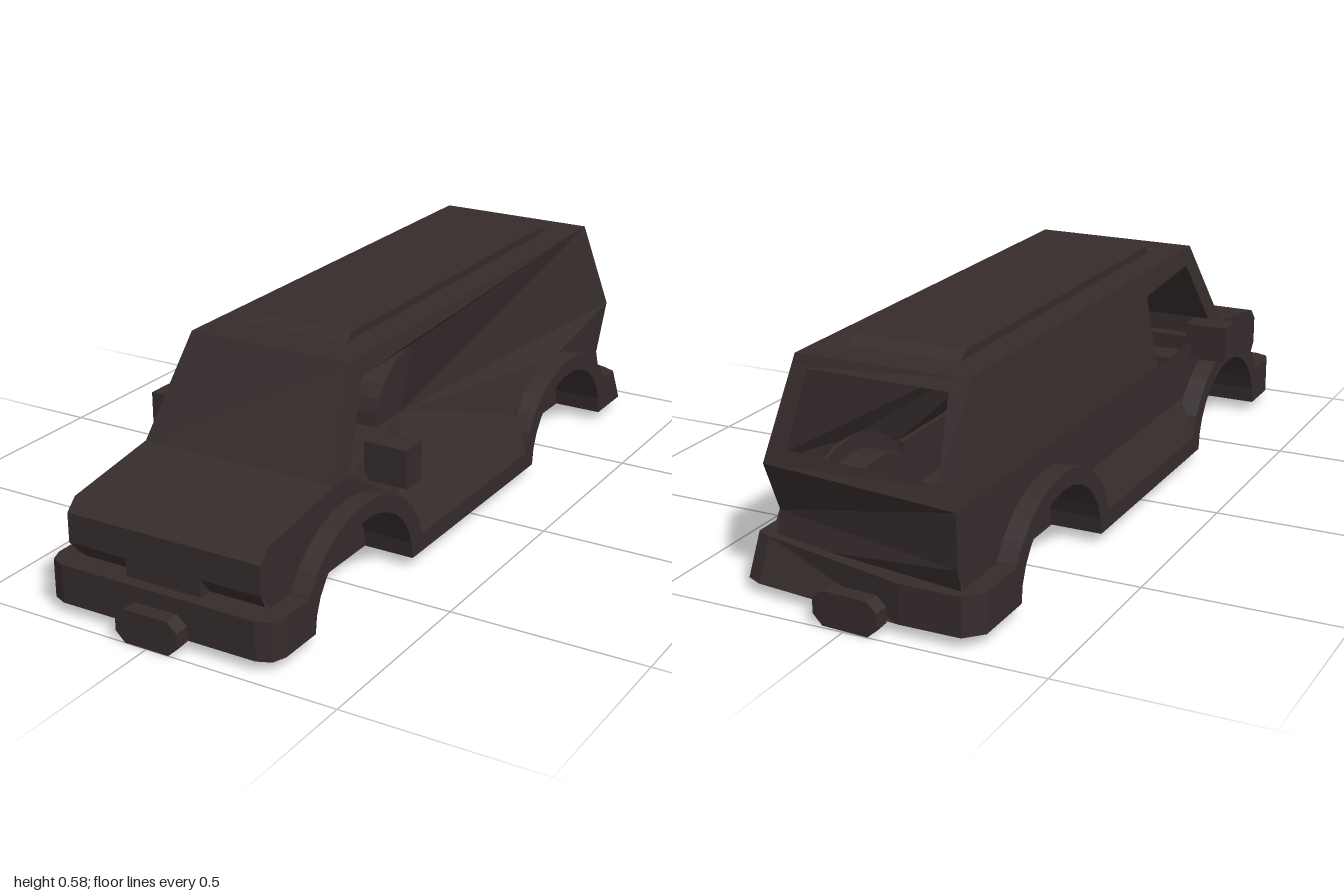
import * as THREE from 'three';

export function createModel() {
  const model = new THREE.Group();
  const paint = new THREE.MeshStandardMaterial({ color: 0x362c2c, flatShading: true, side: THREE.DoubleSide });
  paint.name = 'dark brown paint';

  const add = (name, geometry) => {
    const mesh = new THREE.Mesh(geometry, paint);
    mesh.name = name;
    model.add(mesh);
    return mesh;
  };
  const toShape = (pts) => new THREE.Shape(pts.map(([a, b]) => new THREE.Vector2(a, b)));

  // Side profile [z, y] swept across x0..x1
  const sweepX = (pts, x0, x1) =>
    new THREE.ExtrudeGeometry(toShape(pts), { depth: x1 - x0, bevelEnabled: false })
      .rotateY(-Math.PI / 2).translate(x1, 0, 0);

  // Plan outline [x, z] raised from y0 to y1
  const raise = (pts, y0, y1) =>
    new THREE.ExtrudeGeometry(toShape(pts.map(([x, z]) => [x, -z])), { depth: y1 - y0, bevelEnabled: false })
      .rotateX(-Math.PI / 2).translate(0, y0, 0);

  const fromVertices = (v) => {
    const g = new THREE.BufferGeometry();
    g.setAttribute('position', new THREE.Float32BufferAttribute(v, 3));
    g.computeVertexNormals();
    return g;
  };
  // Thin side panel from a [z, y] outline, leaning by xAt(y), facing outwards
  const sidePanel = (pts, s, xAt) => {
    const g = new THREE.ShapeGeometry(toShape(pts)).toNonIndexed();
    const p = g.attributes.position;
    const v = [];
    for (let i = 0; i < p.count; i += 3) {
      for (const k of s > 0 ? [0, 2, 1] : [0, 1, 2]) {
        v.push(s * xAt(p.getY(i + k)), p.getY(i + k), p.getX(i + k));
      }
    }
    return fromVertices(v);
  };
  // Faces given by their corners, counter-clockwise from outside, fanned from the first corner
  const faces = (list) => fromVertices(list.flatMap(([first, ...rest]) =>
    rest.slice(1).flatMap((corner, i) => [...first, ...rest[i], ...corner])));

  // Wheel arch curve from front to back
  const FLOOR = 0.027;
  const AXLES = [0.57, -0.53];
  const arch = (zc, rz, ry) => Array.from({ length: 15 }, (_, i) => {
    const t = (i / 14) * Math.PI;
    return [zc + rz * Math.cos(t), FLOOR + ry * Math.sin(t)];
  });

  const W = 0.265, ROOF = 0.22, BELT = 0.315, TOP = 0.56, WELL = 0.18;
  const lean = (y) => W + ((y - BELT) / (TOP - BELT)) * (ROOF - W);

  // The tail is skewed, so each side ends at its own depth: belt, waist, base
  const tail = { '1': [-0.89, -0.83, -0.85], '-1': [-0.96, -0.955, -0.93] };

  // Right upper side with the open cab window
  add('rightUpperSide', sidePanel([
    [0.63, BELT], [0.49, TOP], [-0.81, TOP], [tail['-1'][0], BELT], [0.16, BELT],
    [0.16, 0.5], [0.445, 0.515], [0.56, BELT],
  ], -1, lean));

  // Left upper side: the panel behind the window is pushed inwards and fans out to the tail
  const roofFront = [ROOF, TOP, 0.49], roofBack = [ROOF, TOP, -0.81];
  const windowTop = [lean(0.515), 0.515, 0.445], windowBase = [W, BELT, 0.56];
  const jambTop = [0.2, 0.5, 0.16], jambBase = [0.17, BELT, 0.16];
  const dent = [[0.56, BELT], [0.33, 0.17], [-0.29, 0.17], [-0.53, 0.255], [tail['1'][0], BELT]];
  add('leftWindowFrame', faces([
    [roofBack, roofFront, windowTop, jambTop],
    [roofFront, [W, BELT, 0.63], windowBase, windowTop],
  ]));
  add('leftDentedSide', faces([
    [jambBase, ...dent.map(([z, y]) => [W, y, z]), roofBack, jambTop],
  ]));

  for (const s of [1, -1]) {
    const side = s > 0 ? 'left' : 'right';
    const [beltZ, waistZ, baseZ] = tail[s];

    // Lower side with wheel cut-outs
    add(side + 'LowerSide', sidePanel([
      [0.63, BELT], [0.9, 0.275], [0.93, 0.245], [0.93, 0.17], [0.89, 0.12], [0.89, FLOOR],
      ...arch(AXLES[0], 0.22, 0.193), ...arch(AXLES[1], 0.22, 0.193),
      [baseZ, FLOOR], [baseZ, 0.125], [waistZ, 0.18], [beltZ, BELT],
      ...(s > 0 ? dent.slice(0, -1).reverse() : []),
    ], s, () => W));

    // Flares and wheel wells
    AXLES.forEach((zc, i) => {
      const end = i ? 'Rear' : 'Front';
      const ring = [...arch(zc, 0.27, 0.235), ...arch(zc, 0.22, 0.193).reverse()];
      add(side + end + 'Flare', s > 0 ? sweepX(ring, 0.255, 0.315) : sweepX(ring, -0.315, -0.255));
      add(side + end + 'WheelWell', new THREE.CylinderGeometry(1, 1, W - WELL, 14, 1, true, 0, Math.PI)
        .rotateZ(Math.PI / 2).scale(1, 0.193, 0.22).translate(s * (W + WELL) / 2, FLOOR, zc));
      add(side + end + 'WellWall', sidePanel(arch(zc, 0.22, 0.193), s, () => WELL));
    });

    // Sill with a sloping top
    const sill = new THREE.ExtrudeGeometry(
      toShape([[s * 0.25, FLOOR], [s * 0.315, FLOOR], [s * 0.315, 0.075], [s * W, 0.17], [s * 0.25, 0.17]]),
      { depth: 0.62, bevelEnabled: false });
    add(side + 'Sill', sill.translate(0, 0, -0.29));

    // Door mirror
    add(side + 'Mirror', new THREE.BoxGeometry(0.115, 0.097, 0.07).translate(s * 0.3075, 0.3165, 0.435));
  }

  // Symmetric faces across the body, from the lower row to the upper row [halfWidth, y, z]
  const across = ([w0, y0, z0], [w1, y1, z1]) =>
    [[-w0, y0, z0], [w0, y0, z0], [w1, y1, z1], [-w1, y1, z1]];
  const nose = [[0.25, 0.12, 0.89], [W, 0.17, 0.93], [W, 0.245, 0.93], [W, 0.275, 0.9], [W, BELT, 0.63], roofFront, roofBack];
  ['lampRecess', 'grille', 'hoodLip', 'hood', 'windshield', 'roof'].forEach((name, i) =>
    add(name, faces([across(nose[i], nose[i + 1])])));
  add('noseCentre', new THREE.BoxGeometry(0.205, 0.07, 0.04).translate(0, 0.135, 0.91));

  // Tail gate: frame around the open rear window, then the lower panels
  const L = tail['1'], R = tail['-1'];
  const gate = (u, v) => {
    const w = W + (ROOF - W) * v;
    const beltZ = L[0] + (R[0] - L[0]) * u;
    return [w - 2 * w * u, BELT + (TOP - BELT) * v, beltZ + (-0.81 - beltZ) * v];
  };
  const patch = (u0, v0, u1, v1) => [gate(u0, v0), gate(u1, v0), gate(u1, v1), gate(u0, v1)];
  add('rearWindowFrame', faces([
    patch(0, 0, 1, 0.16), patch(0, 0.88, 1, 1), patch(0, 0.16, 0.1, 0.88), patch(0.9, 0.16, 1, 0.88),
  ]));
  add('tailgate', faces([
    [[W, 0.18, L[1]], [-W, 0.18, R[1]], [-W, BELT, R[0]], [W, BELT, L[0]]],
    [[W, 0.1, L[2]], [-W, 0.1, R[2]], [-W, 0.18, R[1]], [W, 0.18, L[1]]],
  ]));

  // Raised roof panel
  add('roofPanel', sweepX([[0.375, TOP], [0.35, 0.58], [-0.68, 0.58], [-0.71, TOP]], -0.145, 0.145));

  // Bumpers with rounded corners
  add('frontBumper', raise([
    [-0.315, 0.8], [-0.315, 0.91], [-0.302, 0.945], [-0.267, 0.96],
    [0.267, 0.96], [0.302, 0.945], [0.315, 0.91], [0.315, 0.8],
  ], FLOOR, 0.125));
  const rearBumper = raise([
    [0.315, -0.77], [0.315, -0.895], [0.275, -0.915], [-0.12, -0.962], [-0.275, -0.962], [-0.315, -0.92], [-0.315, -0.77],
  ], FLOOR, 0.125);
  // Its left corner is pulled forward at the top
  const p = rearBumper.attributes.position;
  for (let i = 0; i < p.count; i++) {
    if (p.getX(i) > 0.2 && p.getY(i) > 0.1 && p.getZ(i) < -0.8) p.setZ(i, p.getZ(i) + 0.05);
  }
  rearBumper.computeVertexNormals();
  add('rearBumper', rearBumper);

  // Floor with four wheel notches
  const edge = [[WELL, 0.8], [WELL, 0.35], [0.315, 0.35], [0.315, -0.31], [WELL, -0.31], [WELL, -0.77]];
  add('floor', raise([...edge, ...edge.map(([x, z]) => [-x, z]).reverse()], FLOOR, FLOOR + 0.004));

  // Octagonal plates at both ends
  const plate = () => new THREE.ExtrudeGeometry(toShape([
    [-0.06, 0], [0.06, 0], [0.085, 0.025], [0.085, 0.062],
    [0.06, 0.085], [-0.06, 0.085], [-0.085, 0.062], [-0.085, 0.025],
  ]), { depth: 0.04, bevelEnabled: false });
  add('frontPlate', plate().translate(0, 0, 0.96));
  add('rearPlate', plate().translate(0, 0, -0.02).rotateY(-0.06).translate(-0.003, 0, -0.975));

  return model;
}
